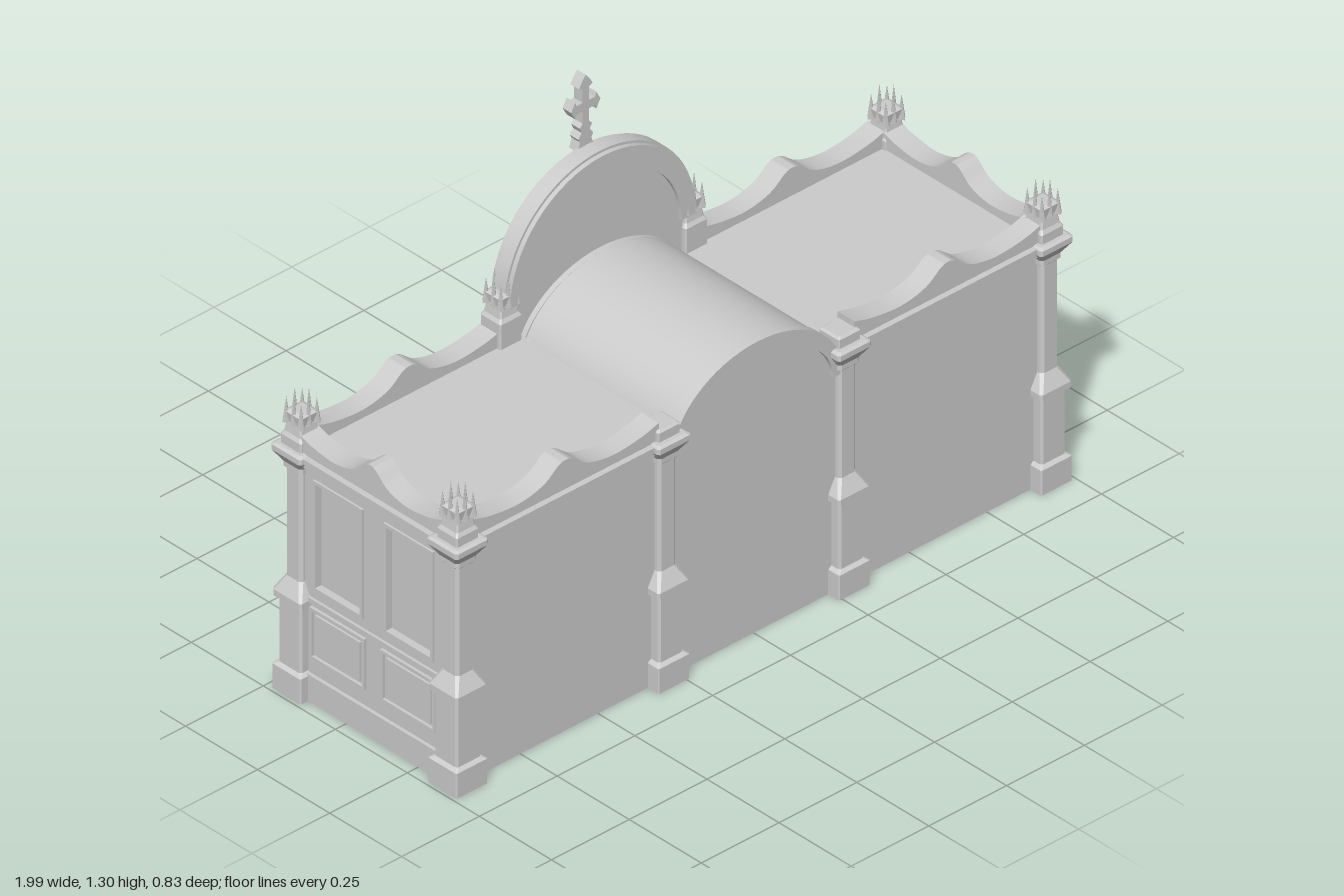
import * as THREE from 'three';
import { toCreasedNormals } from 'three/addons/utils/BufferGeometryUtils.js';

const mat = new THREE.MeshStandardMaterial({ color: 0xcccccc, side: THREE.DoubleSide });
const V2 = (x, y) => new THREE.Vector2(x, y);

function add(parent, name, geo, x = 0, y = 0, z = 0) {
  const m = new THREE.Mesh(geo, mat);
  m.name = name;
  m.position.set(x, y, z);
  parent.add(m);
  return m;
}
const box = (p, name, w, h, d, x, y, z) => add(p, name, new THREE.BoxGeometry(w, h, d), x, y, z);
function group(parent, name, x = 0, y = 0, z = 0, ry = 0) {
  const g = new THREE.Group();
  g.name = name;
  g.position.set(x, y, z);
  g.rotation.y = ry;
  parent.add(g);
  return g;
}
// Extrude an outline (with holes) from z = 0 towards +z
function plate(points, holes, depth) {
  const s = new THREE.Shape(points);
  s.holes = holes.map(h => new THREE.Path(h));
  return toCreasedNormals(new THREE.ExtrudeGeometry(s, { depth, bevelEnabled: false }), 0.5);
}
const rect = (x, y, w, h) => [V2(x - w / 2, y - h / 2), V2(x + w / 2, y - h / 2), V2(x + w / 2, y + h / 2), V2(x - w / 2, y + h / 2)];
// Elliptic arc running from right to left
function arc(cx, cy, rx, ry, n = 32) {
  return Array.from({ length: n + 1 }, (_, i) => V2(cx + rx * Math.cos(Math.PI * i / n), cy + ry * Math.sin(Math.PI * i / n)));
}
const archRing = (cy, ro, rio, ri, rii, depth) => plate([...arc(0, cy, ro, rio), ...arc(0, cy, ri, rii).reverse()], [], depth);
const archDoor = (cx, y0, cy, r) => [V2(cx - r, y0), V2(cx + r, y0), ...arc(cx, cy, r, r, 20)];
// Pointed opening
function lancet(cx, y0, ys, w, h) {
  const pts = [V2(cx - w, y0), V2(cx + w, y0)];
  for (let i = 0; i <= 6; i++) pts.push(V2(cx + w * (1 - (i / 6) ** 2), ys + h * i / 6));
  for (let i = 5; i >= 0; i--) pts.push(V2(cx - w * (1 - (i / 6) ** 2), ys + h * i / 6));
  return pts;
}
// Chamfered square stack; each level is [y, half width, chamfer]
function stack(levels) {
  const pos = [], idx = [];
  for (const [y, a, c] of levels) {
    const b = a - c;
    for (const [x, z] of [[a, -b], [a, b], [b, a], [-b, a], [-a, b], [-a, -b], [-b, -a], [b, -a]]) pos.push(x, y, z);
  }
  const top = (levels.length - 1) * 8;
  for (let l = 0; l < top; l += 8)
    for (let i = 0; i < 8; i++) {
      const j = (i + 1) % 8;
      idx.push(l + i, l + 8 + i, l + j, l + j, l + 8 + i, l + 8 + j);
    }
  for (let i = 1; i < 7; i++) idx.push(0, i, i + 1, top, top + i + 1, top + i);
  const g = new THREE.BufferGeometry();
  g.setAttribute('position', new THREE.Float32BufferAttribute(pos, 3));
  g.setIndex(idx);
  const flat = g.toNonIndexed();
  flat.computeVertexNormals();
  return flat;
}

const COLUMN = [[0, .05, .003], [.07, .05, .003], [.078, .04, .006], [.26, .04, .006], [.266, .05, .006], [.283, .05, .006],
  [.325, .028, .008], [.63, .028, .008], [.636, .034, .008], [.65, .034, .008], [.68, .053, .006], [.695, .053, .006], [.7, .045, .006]];

function column(parent, name, x, z) { add(parent, name, stack(COLUMN), x, 0, z); }

// Crown of leaf spikes on a tapering block
function pinnacle(parent, x, z, lift) {
  const g = group(parent, 'pinnacle', x, 0, z);
  add(g, 'pinnacleBlock', stack([[.69, .036, .004], [.725 + lift, .036, .004], [.735 + lift, .03, .004], [.765 + lift, .026, .004], [.79 + lift, .03, .004], [.795 + lift, .02, .004]]));
  for (let i = 0; i < 8; i++) {
    const corner = i % 2, a = i * Math.PI / 4, r = corner ? .036 : .024, h = corner ? .07 : .085;
    add(g, 'spike', new THREE.ConeGeometry(.012, h, 4), r * Math.cos(a), .76 + lift + h / 2, r * Math.sin(a));
  }
}

// Wavy parapet with a central crest
function parapet(parent, len, x, z, ry, depth = .06) {
  const wave = new THREE.SplineCurve([[1, .05], [.8, .034], [.5, .026], [.24, .042], [.08, .075], [0, .082], [-.08, .075], [-.24, .042], [-.5, .026], [-.8, .034], [-1, .05]]
    .map(([u, h]) => V2(u * len / 2, h))).getPoints(50);
  const g = group(parent, 'parapet', x, .697, z, ry);
  add(g, 'parapetWave', plate([V2(-len / 2, 0), V2(len / 2, 0), ...wave], [], depth), 0, 0, -depth);
  box(g, 'corniceLip', len, .014, .03, 0, -.008, 0);
  box(g, 'corniceBed', len, .018, .015, 0, -.023, 0);
}

function frame(parent, name, x, y, w, h, t, d) {
  add(parent, name, plate(rect(x, y, w, h), [rect(x, y, w - 2 * t, h - 2 * t)], d));
}

// Twin lancet window with diagonal lattice, facing +z
function latticeWindow(parent, name, x, z, ry) {
  const g = group(parent, name, x, 0, z, ry);
  const cs = [-.041, .041];
  add(g, 'tracery', plate(lancet(0, .325, .5, .092, .125), [...cs.map(c => lancet(c, .34, .48, .033, .06)), arc(0, .56, .022, .022, 10).concat(arc(0, .56, -.022, -.022, 10).slice(1, -1))], .012));
  add(g, 'hoodMould', plate(lancet(0, .318, .5, .1, .137), [lancet(0, .325, .5, .092, .125)], .02));
  box(g, 'sill', .21, .014, .03, 0, .318, .01);
  for (const c of cs)
    for (let k = 0; k < 6; k++)
      for (const s of [-1, 1]) box(g, 'latticeBar', .074, .004, .005, c, .365 + k * .025, .003).rotation.z = s * .7;
  frame(g, 'lowerPanel', 0, .19, .2, .13, .01, .012);
  frame(g, 'lowerPanelInner', 0, .19, .16, .09, .006, .007);
}

// Arched door with panels and fanlight, facing +z
function door(parent, x, z) {
  const g = group(parent, 'door', x, 0, z, Math.PI);
  add(g, 'doorFrame', plate(archDoor(0, .02, .455, .14), [archDoor(0, .03, .455, .118)], .026));
  const panels = [];
  for (let r = 0; r < 4; r++) for (const c of [-.054, .054]) panels.push(rect(c, .1 + r * .1, .086, .08));
  add(g, 'doorLeaf', plate(archDoor(0, .03, .455, .118), [...panels, arc(0, .462, .1, .1, 20)], .012));
  for (const a of [-.5, 0, .5]) box(g, 'fanlightBar', .005, .1, .007, -Math.sin(a) * .05, .462 + Math.cos(a) * .05, .003).rotation.z = a;
  add(g, 'fanlightArc', new THREE.TorusGeometry(.05, .004, 6, 16, Math.PI), 0, .462, .004);
  add(g, 'doorKnob', new THREE.SphereGeometry(.011, 12, 8), .1, .25, .024);
}

function panelledSide(parent, s) {
  const g = group(parent, 'panelledSide', s * .94, 0, .0875, s * Math.PI / 2);
  add(g, 'sideWall', plate(rect(0, .345, .55, .69), [-.1225, .1225].map(x => rect(x, .475, .16, .3)), .015));
  box(g, 'sideBacking', .55, .69, .01, 0, .345, -.004);
  for (const x of [-.1225, .1225]) {
    frame(g, 'upperMoulding', x, .475, .172, .312, .009, .021);
    const l = group(g, 'lowerPanel', 0, 0, .015);
    frame(l, 'lowerMoulding', x, .195, .19, .145, .008, .008);
    box(l, 'raisedField', .155, .11, .012, x, .195, 0);
  }
  box(g, 'plinth', .55, .075, .03, 0, .0375, .01);
  box(g, 'dadoRail', .55, .014, .025, 0, .285, .01);
}

// Finial cross with budded ends
function cross(parent) {
  const g = group(parent, 'cross', 0, 0, -.24);
  const half = [[.026, 1.09], [.018, 1.115], [.024, 1.125], [.013, 1.14], [.02, 1.155], [.01, 1.165], [.01, 1.2], [.03, 1.2], [.034, 1.188], [.047, 1.212],
    [.034, 1.236], [.03, 1.224], [.01, 1.224], [.01, 1.262], [.022, 1.268], [.012, 1.285], [0, 1.3]];
  const pts = half.map(([x, y]) => V2(x, y));
  add(g, 'crossBody', plate([...pts, ...half.slice(0, -1).reverse().map(([x, y]) => V2(-x, y))], [], .03));
}

export function createModel() {
  const model = new THREE.Group();
  model.name = 'confessional';

  // Plain rear wall with arched centre
  add(model, 'rearWall', plate([V2(-.95, 0), V2(.95, 0), V2(.95, .69), V2(.255, .69), ...arc(0, .62, .255, .19).slice(4, -4), V2(-.255, .69), V2(-.95, .69)], [], .012), 0, 0, .36);
  add(model, 'rearArch', archRing(.62, .275, .215, .245, .165, .03), 0, 0, .355);

  // Central niche: vault, floor and semicircular steps
  add(model, 'vault', archRing(.62, .27, .215, .255, .195, .53), 0, 0, -.16);
  box(model, 'nicheFloor', .5, .075, .57, 0, .0375, .085);
  const steps = [[.245, 0, .034], [.25, .034, .042], [.2, .042, .068], [.208, .068, .078]];
  for (const [r, y0, y1] of steps) {
    const s = add(model, 'step', plate(arc(0, 0, Math.max(r, .235), r, 40), [], y1 - y0), 0, y1, -.167);
    s.rotation.x = -Math.PI / 2;
    s.rotation.x += Math.PI;
    s.scale.y = -1;
    s.rotation.x = Math.PI / 2;
  }

  // Gable: spandrel and tympanum, round hood, arch moulding
  add(model, 'tympanum', plate([V2(.265, .62), ...arc(0, .8, .265, .265), V2(-.265, .62), ...arc(0, .62, .235, .165).reverse()], [], .012), 0, 0, -.172);
  add(model, 'gableHood', archRing(.8, .3, .3, .252, .242, .066), 0, 0, -.215);
  add(model, 'gableFillet', archRing(.8, .307, .307, .285, .285, .04), 0, 0, -.202);
  add(model, 'entranceArch', archRing(.62, .275, .215, .235, .165, .06), 0, 0, -.205);
  add(model, 'entranceBead', archRing(.62, .28, .222, .262, .204, .015), 0, 0, -.218);

  // Ogee ornament below the cross
  for (const s of [-1, 1]) {
    const pts = [[0, 1.1, -.226], [.012, 1.05, -.226], [.04, .99, -.222], [.095, .945, -.215], [.1, .895, -.208], [.05, .865, -.208], [.015, .835, -.212],
      [.03, .81, -.215], [.05, .825, -.215], [.04, .84, -.215]].map(([x, y, z]) => new THREE.Vector3(s * x, y, z));
    add(model, 'ogeeScroll', new THREE.TubeGeometry(new THREE.CatmullRomCurve3(pts), 50, .011, 8));
  }
  add(model, 'ogeeStem', stack([[.99, .006, .002], [1.05, .014, .004], [1.1, .018, .004]]), 0, 0, -.225);
  cross(model);

  for (const s of [-1, 1]) {
    // Compartment walls and roof
    panelledSide(model, s);
    box(model, 'roof', .69, .012, .57, s * .605, .694, .085);
    box(model, 'facadeWall', .64, .69, .015, s * .615, .345, -.188);
    box(model, 'nicheSideWall', .015, .69, .55, s * .263, .345, .09);
    box(model, 'facadePlinthOuter', .24, .075, .03, s * .79, .0375, -.2);
    box(model, 'facadeRail', .24, .012, .022, s * .79, .285, -.2);
    box(model, 'nichePlinth', .02, .07, .46, s * .25, .11, .09);
    box(model, 'nicheRail', .02, .012, .46, s * .25, .285, .09);
    box(model, 'nicheCornice', .03, .02, .46, s * .247, .635, .09);

    // Window and door bays
    latticeWindow(model, 'facadeWindow', s * .8, -.195, Math.PI);
    latticeWindow(model, 'nicheWindow', s * .256, .09, -s * Math.PI / 2);
    door(model, s * .475, -.195);

    // Columns and pinnacles
    for (const z of [.36, -.182]) {
      column(model, 'cornerColumn', s * .94, z);
      column(model, 'innerColumn', s * .29, z);
      pinnacle(model, s * .94, z, 0);
    }
    column(model, 'bayPilaster', s * .66, -.185);
    pinnacle(model, s * .298, -.182, .045);
    add(model, 'rearCapBlock', stack([[.69, .036, .004], [.725, .036, .004], [.73, .03, .004]]), s * .29, 0, .358);

    // Parapets
    parapet(model, .6, s * .615, .383, 0);
    parapet(model, .6, s * .615, -.218, Math.PI);
    parapet(model, .5, s * .968, .0875, s * Math.PI / 2);
  }
  return model;
}
